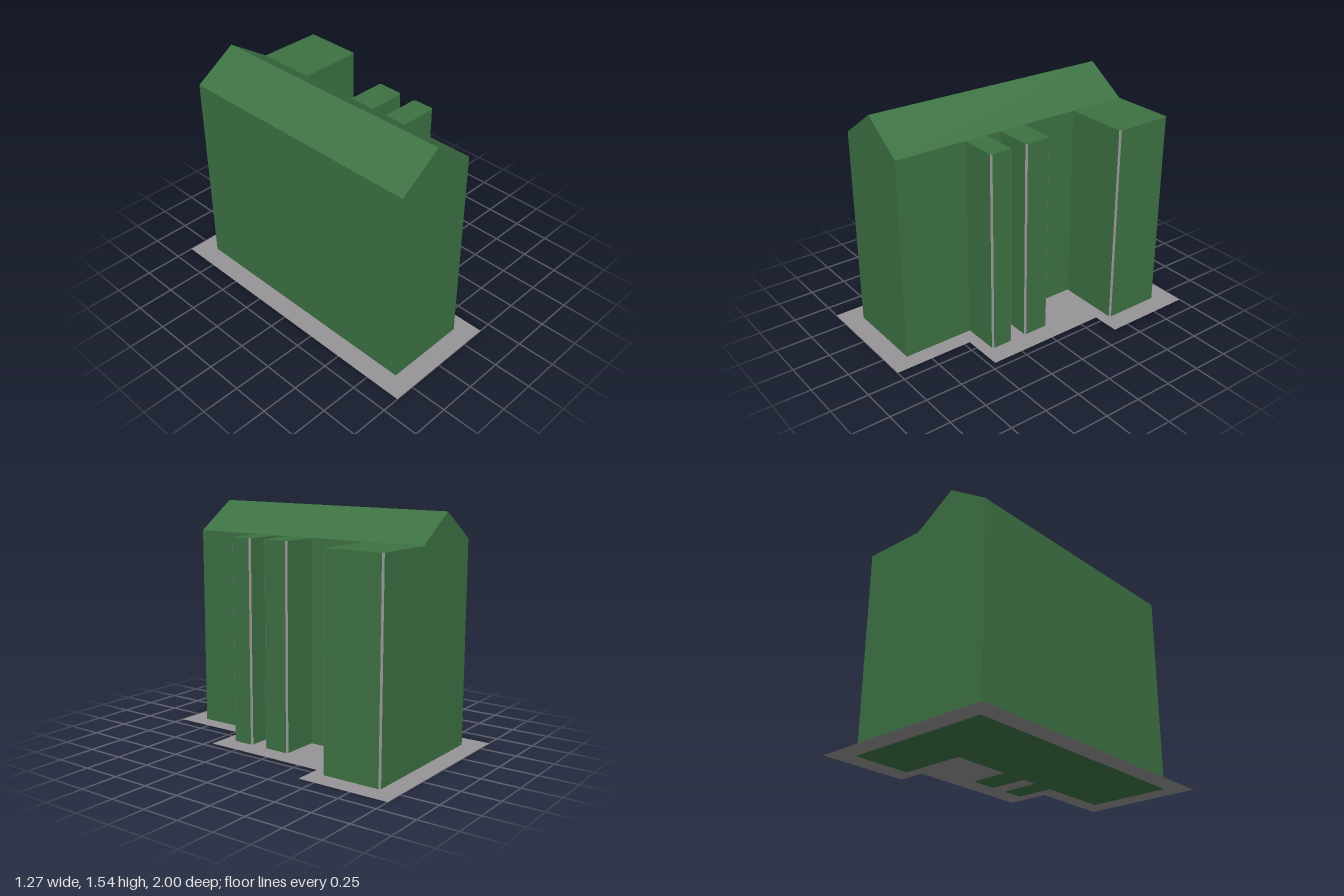
import * as THREE from 'three';

const EAVE = 1.35, FRONT = 0.866, BACK = -0.868;
const LEFT = 0.06, RIGHT = -0.5, RIDGE = -0.22;
const RIDGE_FRONT = 1.543, RIDGE_BACK = 1.533;
const CHAMFER = 0.011;

// Flat-shaded surface from convex polygons, each fanned into triangles
function surface(name, polygons, material) {
  const p = [];
  for (const poly of polygons)
    for (let i = 1; i < poly.length - 1; i++) p.push(...poly[0], ...poly[i], ...poly[i + 1]);
  const g = new THREE.BufferGeometry();
  g.setAttribute('position', new THREE.Float32BufferAttribute(p, 3));
  g.computeVertexNormals();
  const mesh = new THREE.Mesh(g, material);
  mesh.name = name;
  return mesh;
}

// Horizontal sheet from an [x, z] outline, with an optional hole
function sheet(name, outline, y, material, hole) {
  const toPath = (pts) => pts.map(([x, z]) => new THREE.Vector2(x, -z));
  const shape = new THREE.Shape(toPath(outline));
  if (hole) shape.holes.push(new THREE.Path(toPath(hole)));
  const mesh = new THREE.Mesh(new THREE.ShapeGeometry(shape).rotateX(-Math.PI / 2), material);
  mesh.name = name;
  mesh.position.y = y;
  return mesh;
}

// Outline of a projecting wing with its two outer corners cut
const wingOutline = ({ x, front, back }) => [
  [LEFT, front], [x - CHAMFER, front], [x, front - CHAMFER],
  [x, back + CHAMFER], [x - CHAMFER, back], [LEFT, back],
];

export function createModel() {
  const model = new THREE.Group();
  model.name = 'building';
  const green = new THREE.MeshStandardMaterial({ color: 0x3d7243, side: THREE.DoubleSide });
  green.name = 'green wall';
  const grey = new THREE.MeshStandardMaterial({ color: 0x969496, side: THREE.DoubleSide });
  grey.name = 'grey trim';

  const wings = [
    { name: 'frontBay', x: 0.318, front: 0.382, back: 0.23 },
    { name: 'middleBay', x: 0.318, front: 0.122, back: -0.06 },
    { name: 'rearWing', x: 0.5, front: -0.464, back: BACK },
  ];

  // Projecting wings: walls, cut corners and flat roof
  const footprint = [[LEFT, FRONT]];
  for (const wing of wings) {
    const outline = wingOutline(wing);
    footprint.push(...outline);
    const walls = [], corners = [];
    for (let i = 0; i < 5; i++) {
      const [a, b] = [outline[i], outline[i + 1]];
      (i % 2 ? corners : walls).push(
        [[a[0], 0, a[1]], [b[0], 0, b[1]], [b[0], EAVE, b[1]], [a[0], EAVE, a[1]]]);
    }
    const group = new THREE.Group();
    group.name = wing.name;
    group.add(
      surface('wingWalls', walls, green),
      surface('cornerStrips', corners, grey),
      sheet('wingRoof', outline, EAVE, green));
    model.add(group);
  }
  footprint.push([RIGHT, BACK], [RIGHT, FRONT]);

  // Main block: gable ends, right wall, and left wall between the wings
  const starts = [FRONT, ...wings.map((w) => w.back)];
  const leftWalls = wings.map((w, i) => [
    [LEFT, 0, starts[i]], [LEFT, 0, w.front], [LEFT, EAVE, w.front], [LEFT, EAVE, starts[i]]]);
  model.add(surface('mainWalls', [
    [[RIGHT, 0, FRONT], [LEFT, 0, FRONT], [LEFT, EAVE, FRONT],
      [RIDGE, RIDGE_FRONT, FRONT], [RIGHT, EAVE, FRONT]],
    [[LEFT, 0, BACK], [RIGHT, 0, BACK], [RIGHT, EAVE, BACK],
      [RIDGE, RIDGE_BACK, BACK], [LEFT, EAVE, BACK]],
    [[RIGHT, 0, BACK], [RIGHT, 0, FRONT], [RIGHT, EAVE, FRONT], [RIGHT, EAVE, BACK]],
    ...leftWalls,
  ], green));

  // Gabled roof with a slightly falling ridge
  model.add(surface('gableRoof', [
    [[LEFT, EAVE, FRONT], [LEFT, EAVE, BACK], [RIDGE, RIDGE_BACK, BACK], [RIDGE, RIDGE_FRONT, FRONT]],
    [[RIGHT, EAVE, BACK], [RIGHT, EAVE, FRONT], [RIDGE, RIDGE_FRONT, FRONT], [RIDGE, RIDGE_BACK, BACK]],
  ], green));

  // Underside and the stepped pavement around it
  const pavement = [
    [-0.633, 1], [0.17, 1], [0.17, 0.46], [0.45, 0.46],
    [0.45, -0.386], [0.633, -0.386], [0.633, -1], [-0.633, -1],
  ];
  // The rear wing shares its back edge with the main block
  model.add(
    sheet('floor', footprint, 0, green),
    sheet('pavement', pavement, 0, grey, footprint));
  return model;
}
